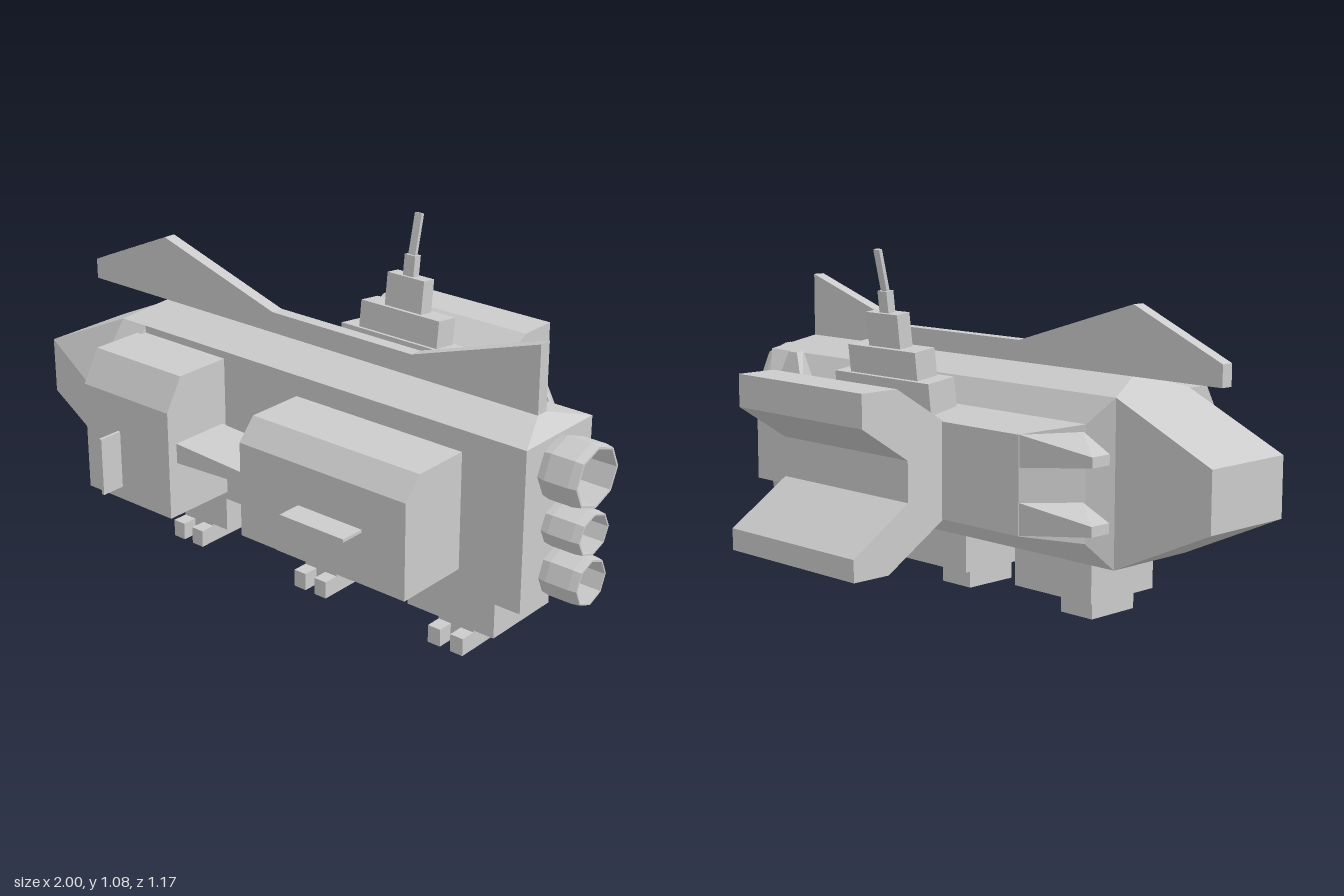
import * as THREE from 'three';
import { ConvexGeometry } from 'three/addons/geometries/ConvexGeometry.js';

export function createModel() {
  const model = new THREE.Group();
  const mat = new THREE.MeshStandardMaterial({ color: 0xcccccc, flatShading: true, side: THREE.DoubleSide });

  const add = (name, geo, parent = model) => {
    const mesh = new THREE.Mesh(geo, mat);
    mesh.name = name;
    parent.add(mesh);
    return mesh;
  };
  // Box given by its limits on each axis
  const box = (name, x0, x1, y0, y1, z0, z1, parent) => {
    const mesh = add(name, new THREE.BoxGeometry(x1 - x0, y1 - y0, z1 - z0), parent);
    mesh.position.set((x0 + x1) / 2, (y0 + y1) / 2, (z0 + z1) / 2);
    return mesh;
  };
  const solid = (name, pts) => add(name, new ConvexGeometry(pts.map((p) => new THREE.Vector3(...p))));
  // Corners of an upright rectangle: x0..x1, y0..y1 at depth z
  const rectAtZ = (z, x0, x1, y0, y1) => [[x0, y0, z], [x1, y0, z], [x0, y1, z], [x1, y1, z]];
  // [z, y] profile extruded along x
  const alongX = (name, profile, x0, x1) => {
    const shape = new THREE.Shape(profile.map(([z, y]) => new THREE.Vector2(-z, y)));
    const geo = new THREE.ExtrudeGeometry(shape, { depth: x1 - x0, bevelEnabled: false });
    geo.rotateY(Math.PI / 2).translate(x0, 0, 0);
    return add(name, geo);
  };

  // Main hull with hipped roof
  solid('hull', [
    ...rectAtZ(-0.047, -0.66, 0.875, 0.205, 0.695),
    ...rectAtZ(0.265, -0.66, 0.875, 0.205, 0.695),
    [-0.6, 0.735, 0.09], [-0.6, 0.735, 0.13], [0.815, 0.735, 0.09], [0.815, 0.735, 0.13],
  ]);

  // Nose with a swollen cheek on the front side
  const cheek = [[0.265, 0.205], [0.41, 0.345], [0.41, 0.505], [0.265, 0.695]];
  solid('nose', [
    ...[0.36, 0.54].flatMap((y) => [[-1, y, -0.047], [-1, y, 0.265]]),
    [-0.66, 0.205, -0.047], [-0.66, 0.695, -0.047],
    ...cheek.map(([z, y]) => [-0.66, y, z]),
  ]);
  alongX('cheek', cheek, -0.66, -0.56);

  // Rear-side bulge in two tapering steps
  solid('bulgeBase', [...rectAtZ(-0.047, -0.66, 0.875, 0.205, 0.695), ...rectAtZ(-0.103, -0.6, 0.815, 0.28, 0.62)]);
  solid('bulge', [...rectAtZ(-0.103, -0.6, 0.815, 0.28, 0.62), ...rectAtZ(-0.247, -0.48, 0.7, 0.305, 0.593)]);

  // Two forward prongs on the bulge
  for (const s of [1, -1]) {
    const at = (x, z, a, b) => [[x, 0.45 + s * a, z], [x, 0.45 + s * b, z]];
    solid('prong', [
      ...at(-0.48, -0.245, 0.05, 0.143), ...at(-0.59, -0.105, 0.05, 0.15),
      ...at(-0.735, -0.225, 0.08, 0.11), ...at(-0.735, -0.155, 0.08, 0.11),
    ]);
  }

  // Forked wing at the back
  alongX('forkedWing', [
    [-0.24, 0.593], [-0.42, 0.705], [-0.55, 0.705], [-0.55, 0.605], [-0.38, 0.495],
    [-0.38, 0.372], [-0.585, 0.24], [-0.585, 0.173], [-0.455, 0.173], [-0.24, 0.305],
  ], -0.17, 0.39);

  // Roof fin
  const finShape = new THREE.Shape([
    [-0.92, 0.735], [0.815, 0.735], [0.815, 0.94], [0.38, 0.8], [-0.15, 0.8], [-0.6, 0.94], [-0.92, 0.8],
  ].map((p) => new THREE.Vector2(...p)));
  add('roofFin', new THREE.ExtrudeGeometry(finShape, { depth: 0.04, bevelEnabled: false })).position.z = 0.09;

  // Chamfered side pods
  const pod = (name, x0, x1, bottom, top, edge) =>
    alongX(name, [[0.25, bottom], [0.508, bottom], [0.508, edge], [0.45, top], [0.25, top]], x0, x1);
  pod('forwardPod', -0.58, -0.225, 0.23, 0.672, 0.572);
  pod('rearPod', 0.065, 0.665, 0.272, 0.63, 0.565);
  box('podBlade', -0.442, -0.432, 0.272, 0.455, 0.5, 0.585);
  box('podHandle', 0.285, 0.515, 0.43, 0.439, 0.5, 0.585);

  // Tapering link between the pods
  solid('podLink', [
    ...[0.28, 0.475].flatMap((z) => [[-0.23, 0.402, z], [-0.23, 0.465, z], [0.07, 0.417, z], [0.07, 0.45, z]]),
  ]);

  // Landing legs with two-toed feet
  for (const x of [-0.403, 0.112, 0.624]) {
    const leg = new THREE.Group();
    leg.name = 'landingLeg';
    leg.position.x = x;
    model.add(leg);
    box('legBlock', -0.153, 0.153, 0.083, 0.21, -0.025, 0.245, leg);
    box('foot', -0.062, 0.062, 0, 0.083, 0.08, 0.215, leg);
    for (const s of [-1, 1]) box('toe', s * 0.04 - 0.022, s * 0.04 + 0.022, 0, 0.055, 0.215, 0.265, leg);
  }

  // Hollow eight-sided engine nozzles: [y, depth radius, height radius]
  for (const [y, rz, ry] of [[0.6, 0.107, 0.095], [0.43, 0.077, 0.065], [0.283, 0.077, 0.073]]) {
    const profile = [[0.86, 0], [1, 0], [1, 0.125], [0.9, 0.125], [0.88, 0], [0.86, 0]]
      .map(([r, h]) => new THREE.Vector2(r, h));
    const geo = new THREE.LatheGeometry(profile.slice(0, 1).concat([
      new THREE.Vector2(0.94, 0), new THREE.Vector2(1, 0.025), new THREE.Vector2(1, 0.1),
      new THREE.Vector2(0.95, 0.125), new THREE.Vector2(0.88, 0.125), profile[0],
    ]), 8);
    geo.scale(ry, 1, rz).rotateZ(-Math.PI / 2);
    add('engineNozzle', geo).position.set(0.875, y, 0.11);
  }

  // Stepped mast leaning back: [width, depth, bottom, top]
  const mast = new THREE.Group();
  mast.name = 'mast';
  mast.position.set(0.11, 0.59, -0.17);
  mast.rotation.x = -0.12;
  model.add(mast);
  for (const [w, d, b, t] of [[0.42, 0.105, 0, 0.11], [0.3, 0.08, 0.1, 0.195], [0.14, 0.05, 0.19, 0.298], [0.04, 0.028, 0.29, 0.363]]) {
    box('mastTier', -w / 2, w / 2, b, t, -d / 2, d / 2, mast);
  }
  const rod = box('mastRod', -0.013, 0.013, 0.355, 0.49, -0.006, 0.006, mast);
  rod.rotation.x = -0.11;
  rod.position.z = -0.007;

  // Small sensor pyramid
  solid('sensorPyramid', [
    [0.48, 0.595, -0.235], [0.63, 0.595, -0.235], [0.56, 0.61, -0.12], [0.71, 0.61, -0.12],
    [0.57, 0.728, -0.16], [0.61, 0.728, -0.16], [0.57, 0.72, -0.185], [0.61, 0.72, -0.185],
  ]);

  return model;
}
